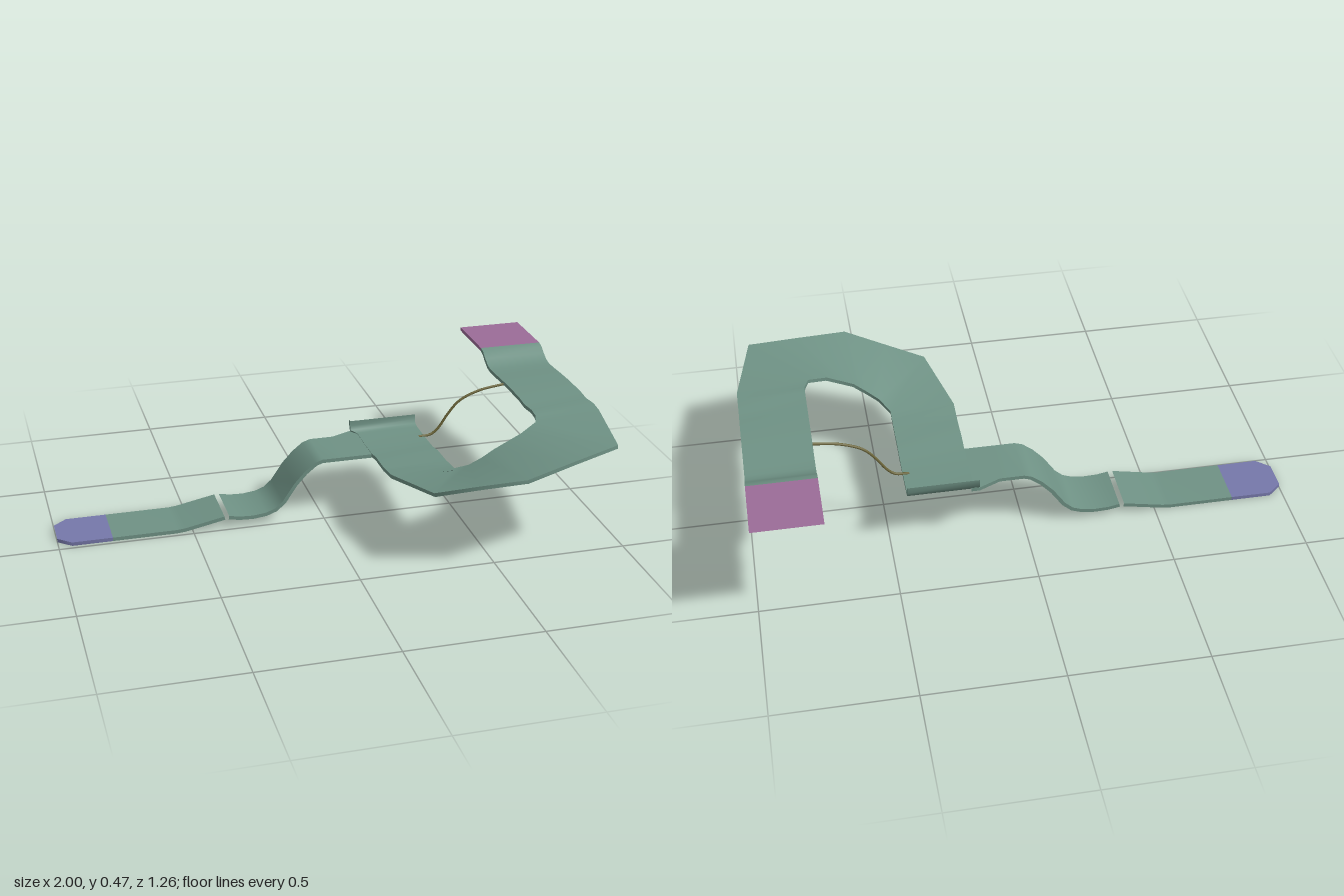
import * as THREE from 'three';

const THICK = 0.014;
const mat = (name, color) => {
  const m = new THREE.MeshStandardMaterial({ color });
  m.name = name;
  return m;
};

// Slab swept along cross-sections [left point, right point] of its top surface.
function ribbon(sections) {
  const L = sections.map(s => new THREE.Vector3(...s[0]));
  const R = sections.map(s => new THREE.Vector3(...s[1]));
  const mid = L.map((p, i) => p.clone().add(R[i]).multiplyScalar(0.5));
  const n = L.length;
  const drop = L.map((p, i) => {
    const t = mid[Math.min(i + 1, n - 1)].clone().sub(mid[Math.max(i - 1, 0)]);
    return R[i].clone().sub(p).cross(t).normalize().multiplyScalar(-THICK);
  });
  const L2 = L.map((p, i) => p.clone().add(drop[i]));
  const R2 = R.map((p, i) => p.clone().add(drop[i]));
  const pos = [], idx = [];
  // each face strip owns its vertices, so the long edges stay sharp
  const strip = (A, B) => {
    const base = pos.length / 3;
    A.forEach((p, i) => pos.push(...p.toArray(), ...B[i].toArray()));
    for (let i = 0; i < A.length - 1; i++) {
      const a = base + i * 2;
      idx.push(a, a + 1, a + 3, a, a + 3, a + 2);
    }
  };
  strip(L, R);
  strip(R, R2);
  strip(R2, L2);
  strip(L2, L);
  strip([L2[0], R2[0]], [L[0], R[0]]);
  strip([L[n - 1], R[n - 1]], [L2[n - 1], R2[n - 1]]);
  const g = new THREE.BufferGeometry();
  g.setAttribute('position', new THREE.Float32BufferAttribute(pos, 3));
  g.setIndex(idx);
  g.computeVertexNormals();
  return g;
}

// Sections for a run along +x: [x, y, zBack, zFront]
const alongX = rows => rows.map(([x, y, z0 = -0.213, z1 = -0.017]) => [[x, y, z0], [x, y, z1]]);

export function createModel() {
  const model = new THREE.Group();
  const green = mat('track green', 0x6f9285);
  const blue = mat('start blue', 0x7678aa);
  const purple = mat('finish purple', 0x9b6c98);
  const olive = mat('wire olive', 0x6b6538);
  const add = (name, geometry, material) => {
    const mesh = new THREE.Mesh(geometry, material);
    mesh.name = name;
    model.add(mesh);
  };

  // Start pad with clipped corners, then the run up to the gap
  add('startPad', ribbon(alongX([
    [-1, 0.014, -0.17, -0.06], [-0.95, 0.014], [-0.8, 0.014],
  ])), blue);
  add('startTrack', ribbon(alongX([
    [-0.8, 0.014], [-0.56, 0.014], [-0.53, 0.017], [-0.45, 0.033], [-0.38, 0.047],
  ])), green);

  // Landing dip and climb to the platform
  add('climbTrack', ribbon(alongX([
    [-0.362, 0.047], [-0.32, 0.039], [-0.27, 0.037], [-0.22, 0.043], [-0.185, 0.056],
    [-0.155, 0.083], [-0.11, 0.15], [-0.07, 0.194], [-0.03, 0.226], [0, 0.236],
    [0.09, 0.236], [0.17, 0.236, -0.25], [0.2, 0.236, -0.25],
  ])), green);

  // Platform, banked U-turn and upper straight in one sweep
  const x0 = 0.19, x1 = 0.433, x2 = 0.748, x3 = 0.995;
  const lower = [
    [-0.246, 0.278], [-0.246, 0.258], [-0.238, 0.243], [-0.215, 0.238], [-0.1, 0.237],
    [-0.02, 0.239], [0.04, 0.249], [0.14, 0.251], [0.18, 0.257],
  ].map(([z, y], i) => [[x1, y, z], [i < 3 ? 0.17 : x0, y, z]]);
  const turn = [
    [[x1, 0.261, 0.23], [x0, 0.264, 0.23]],
    [[0.47, 0.29, 0.275], [0.265, 0.306, 0.5]],
    [[0.51, 0.318, 0.29], [0.41, 0.342, 0.56]],
    [[0.56, 0.355, 0.3], [0.56, 0.378, 0.625]],
    [[0.66, 0.402, 0.295], [0.75, 0.403, 0.577]],
    [[0.73, 0.425, 0.26], [0.935, 0.426, 0.53]],
    [[x2, 0.428, 0.21], [x3, 0.428, 0.22]],
  ];
  const upper = [
    [0.17, 0.434], [0.1, 0.427], [0.04, 0.433], [-0.08, 0.433], [-0.17, 0.43], [-0.22, 0.427],
    [-0.27, 0.426], [-0.3, 0.431], [-0.33, 0.447], [-0.36, 0.467], [-0.385, 0.473],
  ].map(([z, y]) => [[x2, y, z], [x3, y, z]]);
  add('turnTrack', ribbon([...lower, ...turn, ...upper]), green);

  // Finish pad
  add('finishPad', ribbon([-0.385, -0.63].map(z => [[x2, 0.473, z], [x3, 0.473, z]])), purple);

  // Bent wire between the two levels
  const wire = new THREE.CatmullRomCurve3([
    [0.41, 0.238], [0.46, 0.243], [0.49, 0.268], [0.525, 0.32], [0.57, 0.37], [0.65, 0.405], [0.76, 0.422],
  ].map(([x, y]) => new THREE.Vector3(x, y, -0.125)));
  add('wire', new THREE.TubeGeometry(wire, 32, 0.005, 8), olive);

  return model;
}
